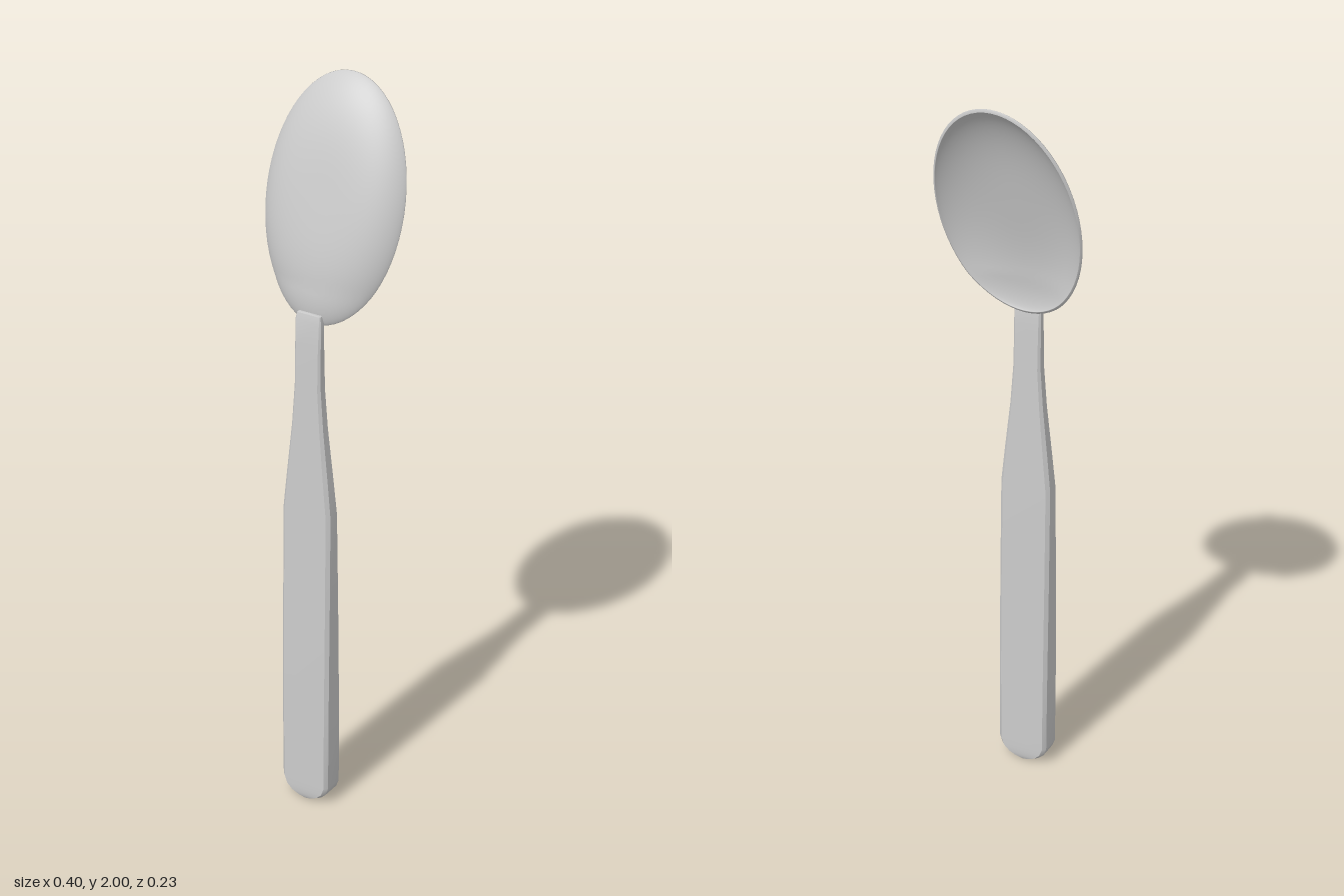
import * as THREE from 'three';
import { toCreasedNormals } from 'three/addons/utils/BufferGeometryUtils.js';

// Skin a list of equal-length closed rings of [x, y, z] points
function loft(rings) {
  const n = rings[0].length, index = [];
  for (let k = 0; k < rings.length - 1; k++) {
    for (let j = 0; j < n; j++) {
      const a = k * n + j, b = k * n + (j + 1) % n;
      index.push(a, b, b + n, a, b + n, a + n);
    }
  }
  const geo = new THREE.BufferGeometry();
  geo.setAttribute('position', new THREE.Float32BufferAttribute(rings.flat(2), 3));
  geo.setIndex(index);
  geo.computeVertexNormals();
  return geo;
}

// Oval dish: outer skin from its centre to the rim, inner skin back again
function bowlGeometry() {
  const SEG = 64, STEPS = 20, rings = [];
  const ny = 0.248, nz = 0.969; // direction the dish bulges
  const ring = (r, depth) => Array.from({ length: SEG }, (_, j) => {
    const t = -j / SEG * Math.PI * 2;
    const u = r * Math.cos(t), v = r * Math.sin(t);
    const lip = 0.012 * Math.max(0, -v - 0.7) / 0.3; // lower lip bends to the handle
    return [0.2 * u, 1.695 + 0.304 * v + ny * depth, -0.036 - 0.079 * v + nz * depth + lip];
  });
  const curve = r => Math.pow(Math.max(0, 1 - Math.pow(r, 3.4)), 0.8);
  for (let i = 0; i <= STEPS; i++) {
    const r = Math.sin(i / STEPS * Math.PI / 2);
    rings.push(ring(Math.max(r, 0.001), 0.004 + 0.06 * curve(r)));
  }
  for (let i = STEPS; i >= 0; i--) {
    const r = Math.sin(i / STEPS * Math.PI / 2);
    rings.push(ring(Math.max(0.975 * r, 0.001), 0.052 * curve(r)));
  }
  return loft(rings);
}

// Tapering bar with chamfered long edges and a rounded lower end
function handleGeometry() {
  // y, half width, half thickness
  const stations = [
    [0.006, 0.012, 0.030], [0.010, 0.028, 0.032], [0.020, 0.048, 0.034],
    [0.036, 0.064, 0.035], [0.058, 0.072, 0.035], [0.30, 0.073, 0.034],
    [0.60, 0.073, 0.029], [0.88, 0.072, 0.024], [0.98, 0.062, 0.022],
    [1.12, 0.047, 0.018], [1.23, 0.039, 0.016], [1.34, 0.038, 0.013],
    [1.41, 0.038, 0.010], [1.428, 0.034, 0.006],
  ];
  const section = (y, w, d) => {
    const c = Math.min(0.009, w * 0.3, d * 0.4), z0 = 0.08;
    return [[w, d - c], [w, c - d], [w - c, -d], [c - w, -d],
      [-w, c - d], [-w, d - c], [c - w, d], [w - c, d]].map(([x, z]) => [x, y, z0 + z]);
  };
  const rings = stations.map(s => section(...s));
  rings.unshift(section(0.004, 0.0005, 0.029));
  rings.unshift(section(0.004, 0.0005, 0.0005));
  rings.push(section(1.43, 0.0005, 0.0005));
  return toCreasedNormals(loft(rings), 0.45);
}

export function createModel() {
  const spoon = new THREE.Group();
  spoon.name = 'spoon';
  const metal = new THREE.MeshStandardMaterial({ color: 0xcccccc });
  const add = (name, geo) => {
    const mesh = new THREE.Mesh(geo, metal);
    mesh.name = name;
    spoon.add(mesh);
  };
  add('bowl', bowlGeometry());
  add('handle', handleGeometry());
  return spoon;
}
